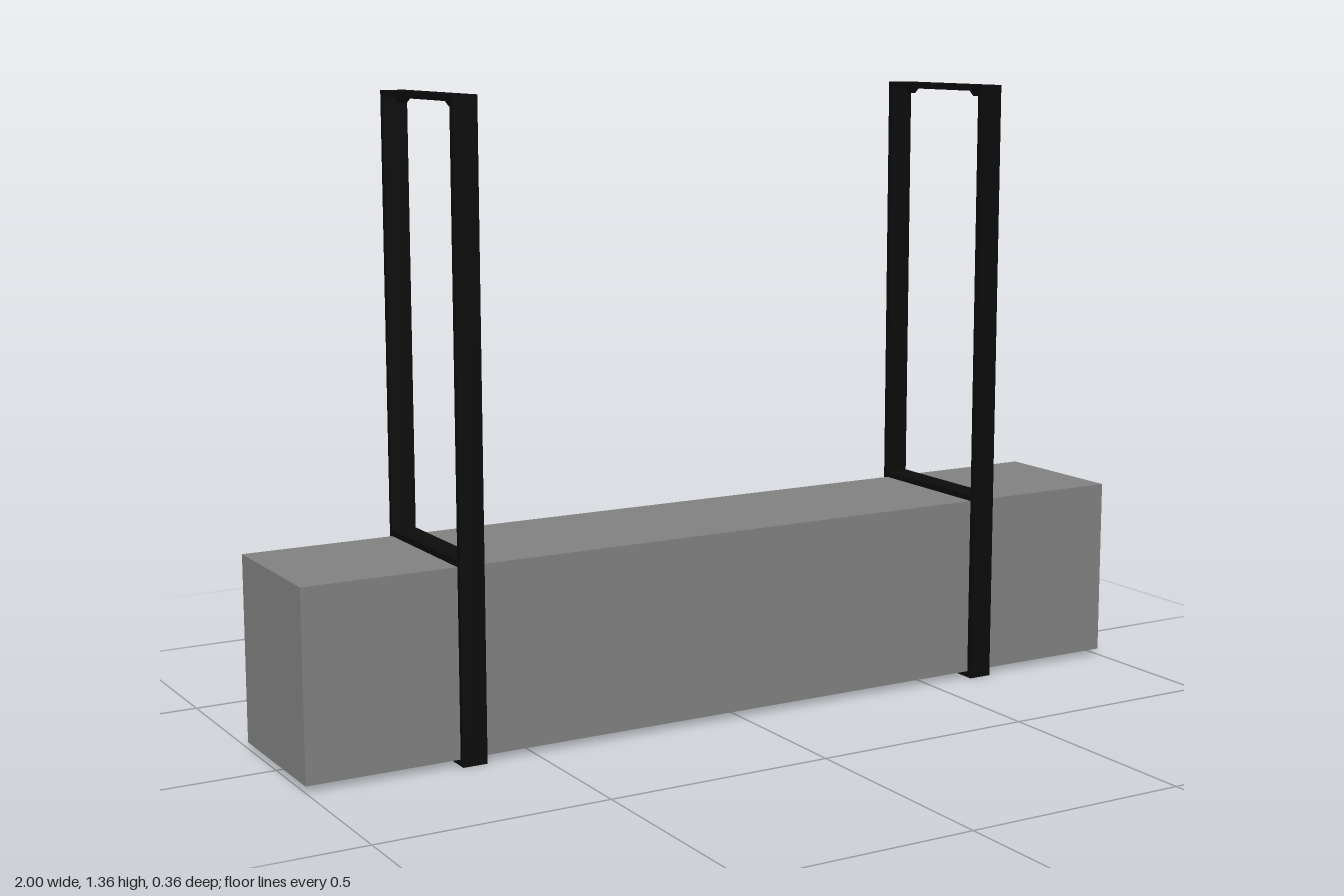
import * as THREE from 'three';

const W = 2, D = 0.33, Y0 = 0.014, Y1 = 0.415;   // housing size
const RIM = 0.09, RECESS = 0.2;                  // light opening underneath
const T = 0.013, STRAP = 0.054, TOP = 1.355;     // hanging straps
const SPAN = D / 2 + T;

// Box without its bottom face; inward = true turns the faces to the inside
function openBox(w, h, d, y, inward) {
  const g = new THREE.BoxGeometry(w, h, d);
  const index = Array.from(g.index.array);
  index.splice(18, 6);
  if (inward) index.reverse();
  g.setIndex(index);
  g.computeVertexNormals();
  g.translate(0, y + h / 2, 0);
  return g;
}

function rectangle(Type, w, d) {
  const p = new Type();
  p.moveTo(-w / 2, -d / 2);
  p.lineTo(w / 2, -d / 2);
  p.lineTo(w / 2, d / 2);
  p.lineTo(-w / 2, d / 2);
  p.closePath();
  return p;
}

export function createModel() {
  const model = new THREE.Group();
  model.name = 'pendantLamp';
  const grey = new THREE.MeshStandardMaterial({ color: 0x808080 });
  const black = new THREE.MeshStandardMaterial({ color: 0x0b0b0b });

  const add = (parent, name, geometry, material, x = 0, y = 0, z = 0) => {
    const mesh = new THREE.Mesh(geometry, material);
    mesh.name = name;
    mesh.position.set(x, y, z);
    parent.add(mesh);
    return mesh;
  };

  // Housing: outer shell, bottom rim and recessed light well
  const housing = new THREE.Group();
  housing.name = 'housing';
  model.add(housing);
  const w = W - 2 * RIM, d = D - 2 * RIM;
  add(housing, 'shell', openBox(W, Y1 - Y0, D, Y0, false), grey);
  add(housing, 'lightWell', openBox(w, RECESS, d, Y0, true), grey);
  const rim = rectangle(THREE.Shape, W, D);
  rim.holes.push(rectangle(THREE.Path, w, d));
  add(housing, 'bottomRim', new THREE.ShapeGeometry(rim).rotateX(Math.PI / 2), grey, 0, Y0, 0);

  // Hanging frames: a flat strap loop with a cross bar on the housing
  for (const side of [-1, 1]) {
    const frame = new THREE.Group();
    frame.name = side > 0 ? 'leftHangingFrame' : 'rightHangingFrame';
    frame.position.x = side * 0.64;
    model.add(frame);

    const bar = new THREE.BoxGeometry(STRAP, T, 2 * SPAN - 2 * T);
    add(frame, 'bottomBar', bar, black, 0, T / 2, 0);
    add(frame, 'middleBar', bar, black, 0, Y1 + T / 2, 0);
    add(frame, 'topBar', bar, black, 0, TOP - T / 2, 0);

    for (const s of [-1, 1]) {
      add(frame, 'upright', new THREE.BoxGeometry(STRAP, TOP, T), black, 0, TOP / 2, s * (SPAN - T / 2));
      // Mounting screw heads below the top bar
      add(frame, 'screwHead', new THREE.CylinderGeometry(0.018, 0.009, 0.012, 16), black,
        0, TOP - T - 0.006, s * 0.126);
    }
  }
  return model;
}
